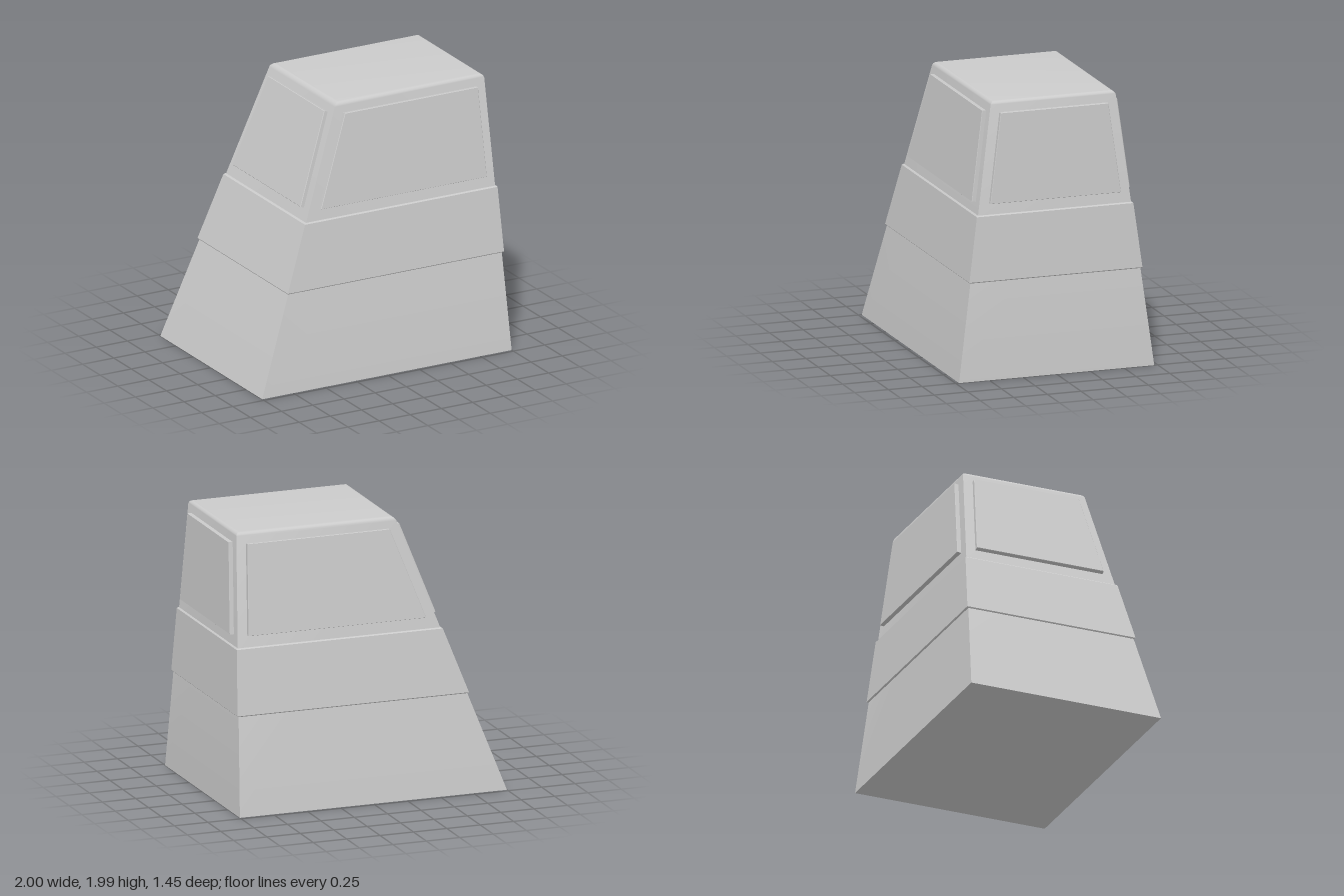
import * as THREE from 'three';
import { toCreasedNormals } from 'three/addons/utils/BufferGeometryUtils.js';

const material = new THREE.MeshStandardMaterial({ color: 0xcccccc });

// Sloping walls of the tower at height y, pushed out by g
const section = (y, g = 0) => ({
  y,
  x0: -1 + 0.371 * y - g,
  x1: 1 - 0.0375 * y + g,
  z: 0.725 - 0.1325 * y + g,
});

// Closed solid through four-cornered rings (each counter-clockwise seen from outside its far end)
function loft(name, rings) {
  const pos = [];
  const quad = (a, b, c, d) => [a, b, c, a, c, d].forEach((p) => pos.push(...p));
  for (let i = 0; i < rings.length - 1; i++) {
    for (let k = 0; k < 4; k++) {
      const n = (k + 1) % 4;
      quad(rings[i][k], rings[i][n], rings[i + 1][n], rings[i + 1][k]);
    }
  }
  const [a, b, c, d] = rings[0];
  quad(d, c, b, a);
  quad(...rings[rings.length - 1]);
  const geo = new THREE.BufferGeometry();
  geo.setAttribute('position', new THREE.Float32BufferAttribute(pos, 3));
  const mesh = new THREE.Mesh(toCreasedNormals(geo, 0.4), material);
  mesh.name = name;
  return mesh;
}

const ring = ({ y, x0, x1, z }) => [[x0, y, z], [x1, y, z], [x1, y, -z], [x0, y, -z]];

// Raised panel: outline corners lying on a wall, thickened along the wall's normal
function panel(name, corners) {
  const p = corners.map((c) => new THREE.Vector3(...c));
  const normal = p[1].clone().sub(p[0]).cross(p[3].clone().sub(p[0])).normalize();
  const layer = (d, inset) => {
    const mid = p.reduce((s, v) => s.add(v), new THREE.Vector3()).multiplyScalar(0.25);
    return p.map((v) => v.clone().addScaledVector(normal, d)
      .addScaledVector(mid.clone().sub(v).normalize(), inset).toArray());
  };
  return loft(name, [layer(-0.01, 0), layer(0.027, 0), layer(0.03, 0.004)]);
}

export function createModel() {
  const group = new THREE.Group();

  // Tapered body with a rounded roof edge
  const top = 1.99, r = 0.03, rings = [ring(section(0))];
  for (let i = 0; i <= 6; i++) {
    const a = (i / 6) * Math.PI / 2;
    rings.push(ring(section(top - r + r * Math.sin(a), -r * (1 - Math.cos(a)))));
  }
  group.add(loft('body', rings));

  // Thin raised band around the middle
  group.add(loft('middleBand', [
    [0.705, 0.005], [0.712, 0.012], [1.176, 0.012], [1.184, 0.005],
  ].map(([y, g]) => ring(section(y, g)))));

  // Window panels on the four walls
  const lo = 1.265, hi = 1.91;
  const L = section(lo), H = section(hi);
  const front = [[-0.45, lo, L.z], [0.88, lo, L.z], [0.857, hi, H.z], [-0.21, hi, H.z]];
  group.add(panel('frontPanel', front));
  const back = front.map(([x, y, z]) => [x, y, -z]);
  group.add(panel('backPanel', [back[1], back[0], back[3], back[2]]));

  const wl = 0.485, wh = 0.4;
  group.add(panel('leftPanel', [[L.x1, lo, wl], [L.x1, lo, -wl], [H.x1, hi, -wh], [H.x1, hi, wh]]));
  group.add(panel('rightPanel', [[L.x0, lo, -wl], [L.x0, lo, wl], [H.x0, hi, wh], [H.x0, hi, -wh]]));

  return group;
}
